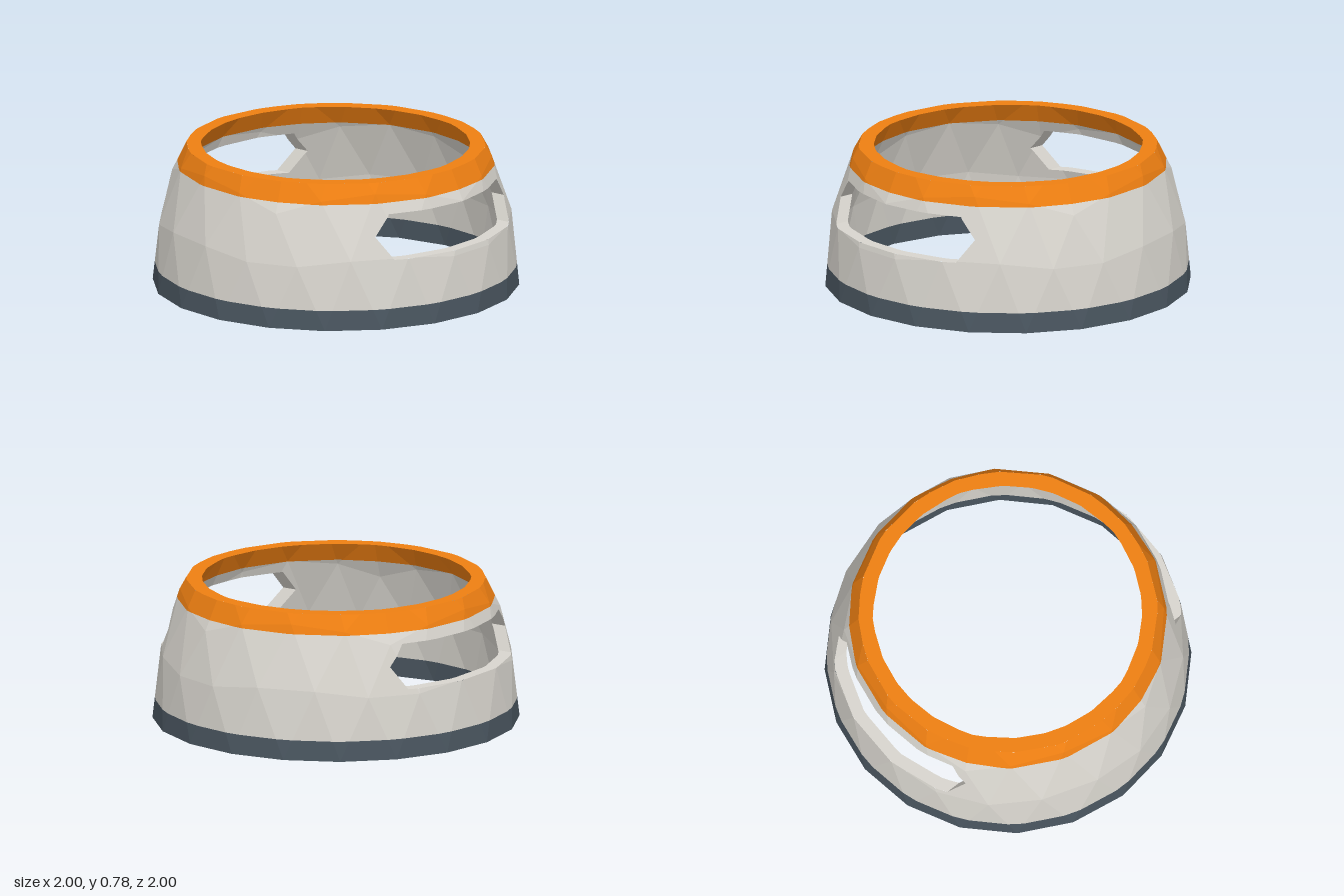
import * as THREE from 'three';

const HEIGHT = 0.78, BASE_TOP = 0.11, BAND_BOTTOM = 0.675;
const STRETCH = 1.38, INNER = 0.935;
// slot outline as [z, y], wound so that the inside lies on one side of every edge
const SLOT = [[0.46, 0.615], [0.55, 0.5], [0.49, 0.375], [-0.49, 0.375], [-0.55, 0.5], [-0.46, 0.615]];

// facets of a stretched geodesic ball, pole upward
function domeFacets(scale) {
  const geo = new THREE.IcosahedronGeometry(1, 3);
  geo.rotateZ(-Math.atan(2 / (1 + Math.sqrt(5))));
  geo.scale(scale, scale * STRETCH, scale);
  const p = geo.attributes.position, facets = [];
  for (let i = 0; i < p.count; i += 3) {
    facets.push([0, 1, 2].map(k => new THREE.Vector3().fromBufferAttribute(p, i + k)));
  }
  return facets;
}

// part of a convex polygon where f >= 0
function clip(poly, f) {
  const out = [];
  poly.forEach((a, i) => {
    const b = poly[(i + 1) % poly.length], fa = f(a), fb = f(b);
    if (fa >= 0) out.push(a);
    if ((fa > 0 && fb < 0) || (fa < 0 && fb > 0)) out.push(a.clone().lerp(b, fa / (fa - fb)));
  });
  return out.length > 2 ? out : [];
}

// horizontal slice of a polygon
const slice = (poly, y0, y1) => clip(clip(poly, v => v.y - y0), v => y1 - v.y);

// pieces of a polygon left after the slot is cut through it
function cutSlot(poly) {
  const pieces = [];
  let rest = poly;
  SLOT.forEach(([z0, y0], i) => {
    const [z1, y1] = SLOT[(i + 1) % SLOT.length];
    const side = v => (z1 - z0) * (v.y - y0) - (y1 - y0) * (v.z - z0);
    pieces.push(clip(rest, side));
    rest = clip(rest, v => -side(v));
  });
  return pieces.filter(p => p.length);
}

// point where a horizontal ray from the middle meets the facets
function hit(facets, y, z, dx, dz, scale) {
  const ray = new THREE.Ray(new THREE.Vector3(0, y + 1e-4, z), new THREE.Vector3(dx, 0, dz).normalize());
  const target = new THREE.Vector3();
  for (const [a, b, c] of facets) {
    if (ray.intersectTriangle(a, b, c, false, target)) return target.setY(y);
  }
  const r2 = scale * scale - (y / STRETCH) ** 2 - z * z;
  return ray.at(Math.sqrt(r2), target).setY(y);
}

function polygonMesh(name, polys, color, side = THREE.FrontSide) {
  const pos = [];
  for (const p of polys) {
    for (let i = 1; i < p.length - 1; i++) {
      for (const v of [p[0], p[i], p[i + 1]]) pos.push(v.x, v.y, v.z);
    }
  }
  const geo = new THREE.BufferGeometry();
  geo.setAttribute('position', new THREE.Float32BufferAttribute(pos, 3));
  geo.computeVertexNormals();
  const mesh = new THREE.Mesh(geo, new THREE.MeshStandardMaterial({ color, flatShading: true, side }));
  mesh.name = name;
  return mesh;
}

// quads joining an outer and an inner line of points
const strip = (outer, inner) =>
  outer.slice(1).map((v, i) => [outer[i], v, inner[i + 1], inner[i]]);

export function createModel() {
  const group = new THREE.Group();
  group.name = 'domeRing';
  const outer = domeFacets(1), inner = domeFacets(INNER);
  const skins = [...outer, ...inner.map(f => [...f].reverse())];
  const grey = 0xd8d5ce, orange = 0xee7f12, slate = 0x4a5660;

  // coloured bands and the slotted wall, outside and inside
  const bandPolys = (y0, y1) => skins.map(f => slice(f, y0, y1)).filter(p => p.length);
  group.add(polygonMesh('baseBand', bandPolys(0, BASE_TOP), slate));
  group.add(polygonMesh('wall', bandPolys(BASE_TOP, BAND_BOTTOM).flatMap(cutSlot), grey));
  group.add(polygonMesh('topBand', bandPolys(BAND_BOTTOM, HEIGHT), orange));

  // flat rims closing the shell at the bottom and top
  const ringPoints = (facets, y, scale) => Array.from({ length: 181 }, (_, i) => {
    const a = (i % 180) / 180 * Math.PI * 2 + 0.0003;
    return hit(facets, y, 0, Math.cos(a), Math.sin(a), scale);
  });
  const rim = y => strip(ringPoints(outer, y, 1), ringPoints(inner, y, INNER));
  group.add(polygonMesh('bottomRim', rim(0), slate, THREE.DoubleSide));
  group.add(polygonMesh('topRim', rim(HEIGHT), orange, THREE.DoubleSide));

  // walls of the slot on each side
  const outline = [];
  SLOT.forEach(([z0, y0], i) => {
    const [z1, y1] = SLOT[(i + 1) % SLOT.length];
    const n = Math.abs(z1 - z0) > 0.5 ? 24 : 6;
    for (let k = 0; k < n; k++) outline.push([z0 + (z1 - z0) * k / n, y0 + (y1 - y0) * k / n]);
  });
  outline.push(outline[0]);
  for (const [name, s] of [['leftSlotLining', 1], ['rightSlotLining', -1]]) {
    const line = (facets, scale) => outline.map(([z, y]) => hit(facets, y, z, s, 0, scale));
    group.add(polygonMesh(name, strip(line(outer, 1), line(inner, INNER)), grey, THREE.DoubleSide));
  }
  return group;
}
